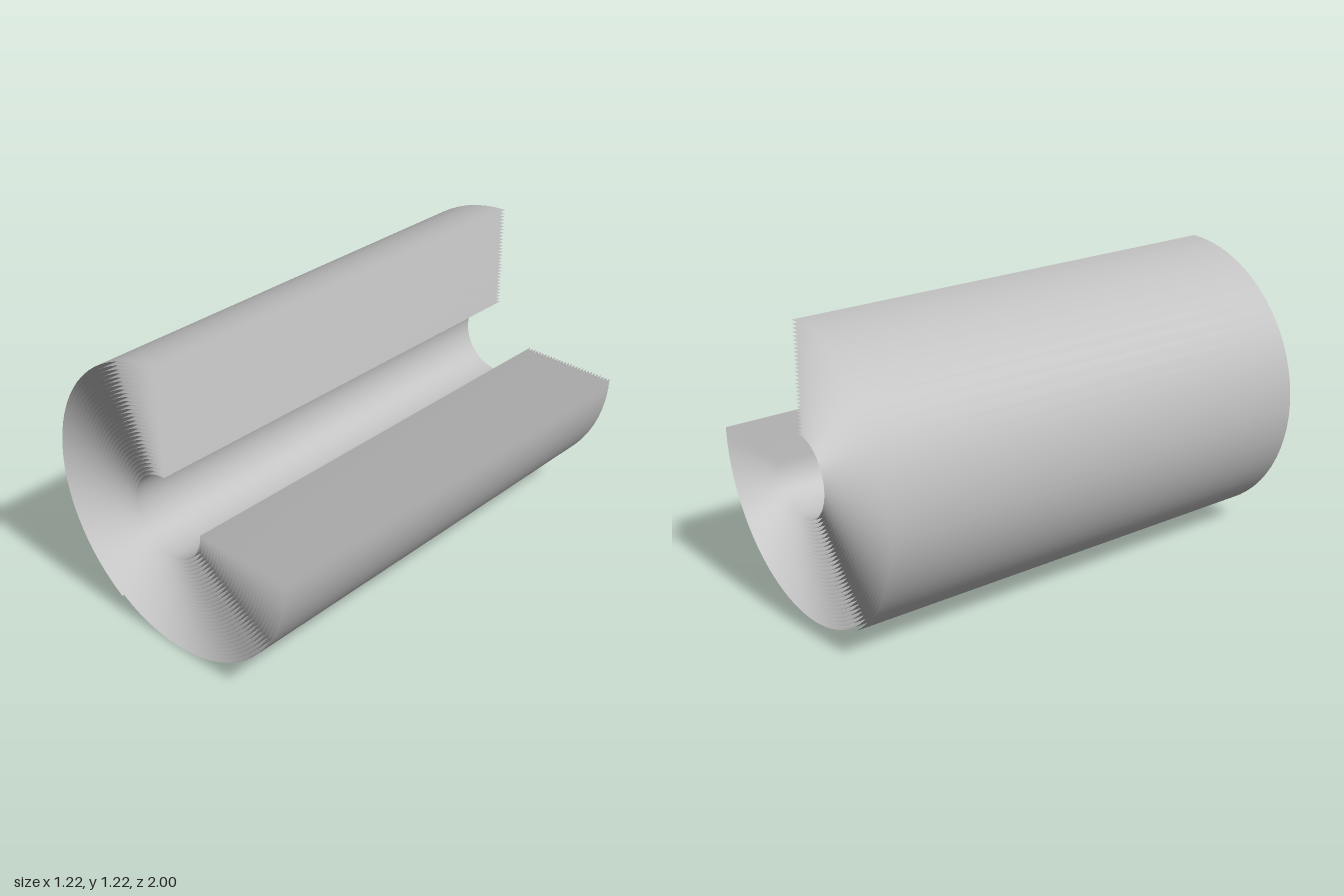
import * as THREE from 'three';

const LENGTH = 2;
const TURNS = 29;                 // full layers below the outermost one
const INNER = 0.17;               // radius of the first layer at the upper cut
const OUTER = 0.6125;             // radius of the last layer at the upper cut
const PITCH = (OUTER - INNER) / TURNS;
const CUT_START = 90, CUT_END = 360, TAIL_END = 239; // degrees
const CENTER_X = 0.002, CENTER_Y = OUTER - PITCH / 2;

// One layer of the spiral sheet, radius growing with the angle
function layerGeometry(layer, endAngle) {
  const steps = Math.round((endAngle - CUT_START) / 5);
  const positions = [], indices = [];
  for (let i = 0; i <= steps; i++) {
    const degrees = CUT_START + (endAngle - CUT_START) * i / steps;
    const angle = THREE.MathUtils.degToRad(degrees);
    const radius = INNER + PITCH * (layer + (degrees - CUT_START) / 360);
    const x = radius * Math.cos(angle), y = radius * Math.sin(angle);
    positions.push(x, y, LENGTH / 2, x, y, -LENGTH / 2);
    if (i < steps) {
      const a = i * 2;
      indices.push(a, a + 1, a + 2, a + 1, a + 3, a + 2);
    }
  }
  const geometry = new THREE.BufferGeometry();
  geometry.setAttribute('position', new THREE.Float32BufferAttribute(positions, 3));
  geometry.setIndex(indices);
  // Outward-facing winding
  geometry.index.array.forEach((v, i, arr) => {
    if (i % 3 === 1) { arr[i] = arr[i + 1]; arr[i + 1] = v; }
  });
  geometry.computeVertexNormals();
  return geometry;
}

export function createModel() {
  const model = new THREE.Group();
  model.name = 'cutawayRoll';

  const sheetGrey = new THREE.MeshStandardMaterial({ color: 0xc0c0c0, side: THREE.DoubleSide });
  sheetGrey.name = 'sheet grey';

  // Wound sheet with the upper right quarter cut away
  const roll = new THREE.Group();
  roll.name = 'woundSheet';
  for (let layer = 0; layer <= TURNS; layer++) {
    const end = layer === TURNS ? TAIL_END : CUT_END;
    const mesh = new THREE.Mesh(layerGeometry(layer, end), sheetGrey);
    mesh.name = layer === TURNS ? 'outerTail' : `sheetLayer${layer + 1}`;
    roll.add(mesh);
  }
  roll.position.set(CENTER_X, CENTER_Y, 0);
  model.add(roll);
  return model;
}
